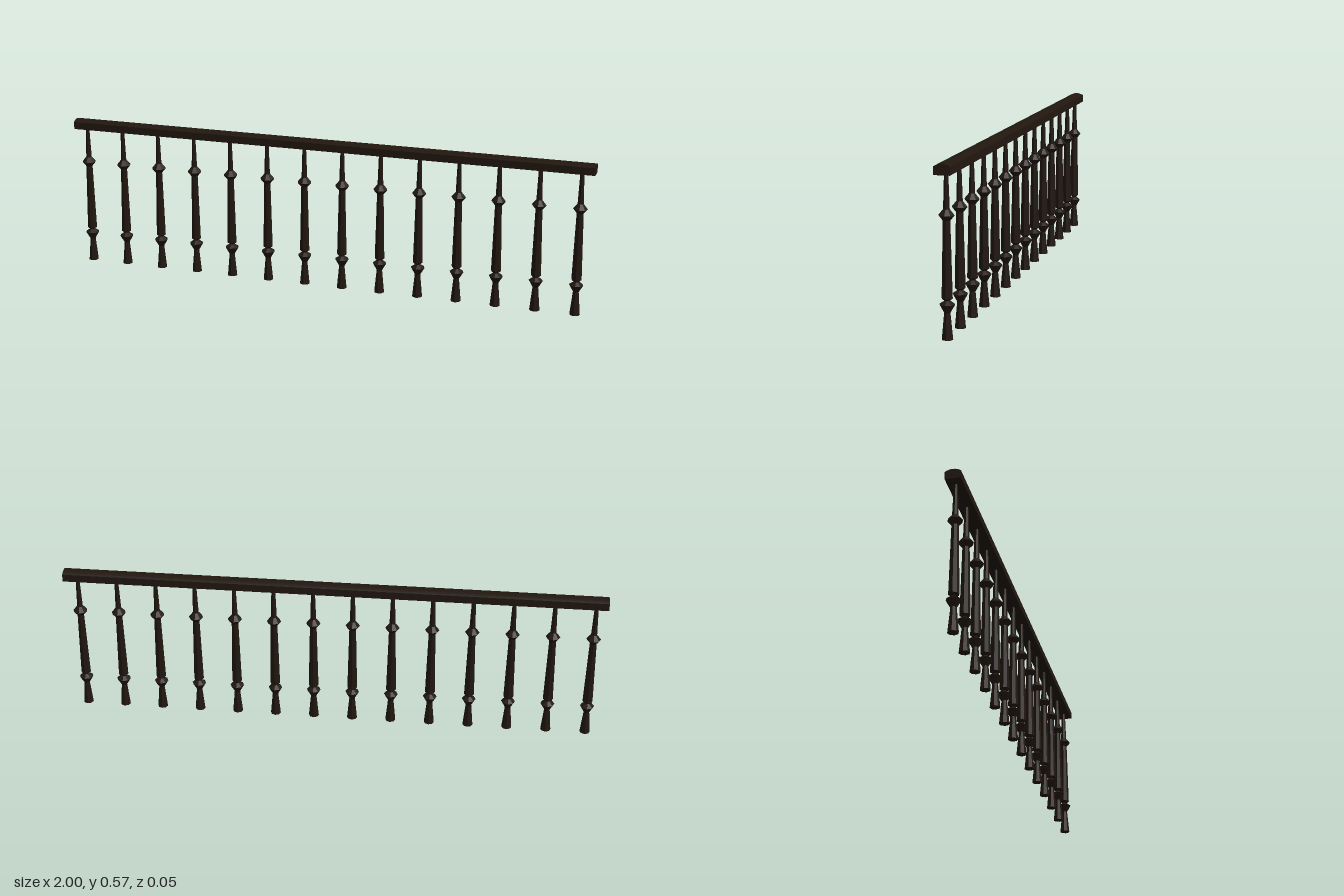
import * as THREE from 'three';

export function createModel() {
  const group = new THREE.Group();
  const wood = new THREE.MeshStandardMaterial({ color: 0x21170f, flatShading: true });

  // Handrail: flat base, upright sides and a shallow crowned top, swept along x
  const half = 0.027, bottom = 0.537, shoulder = 0.565, crown = 0.573;
  const section = new THREE.Shape();
  section.moveTo(-half, bottom);
  section.lineTo(half, bottom);
  section.lineTo(half, shoulder);
  const steps = 8;
  for (let i = 1; i <= steps; i++) {
    const t = 1 - (2 * i) / steps;
    section.lineTo(half * t, shoulder + (crown - shoulder) * (1 - t * t));
  }
  section.closePath();
  const railGeometry = new THREE.ExtrudeGeometry(section, { depth: 2, bevelEnabled: false });
  railGeometry.translate(0, 0, -1).rotateY(Math.PI / 2);
  const rail = new THREE.Mesh(railGeometry, wood);
  rail.name = 'handrail';
  group.add(rail);

  // Turned baluster profile: radius, height
  const profile = [
    [0, 0], [0.019, 0], [0.0105, 0.088],           // flared foot
    [0.026, 0.115], [0.009, 0.127],                // lower bead
    [0.0185, 0.135], [0.0125, 0.386],              // tapered shaft
    [0.0265, 0.403], [0.011, 0.422],               // upper bead
    [0.007, 0.54],                                 // slim neck
  ].map(([r, y]) => new THREE.Vector2(r, y));
  const balusterGeometry = new THREE.LatheGeometry(profile, 8);

  // Evenly spaced row of balusters
  const count = 14, spacing = 0.1468;
  for (let i = 0; i < count; i++) {
    const baluster = new THREE.Mesh(balusterGeometry, wood);
    baluster.name = `baluster${i + 1}`;
    baluster.position.x = -0.003 + (i - (count - 1) / 2) * spacing;
    group.add(baluster);
  }
  return group;
}
